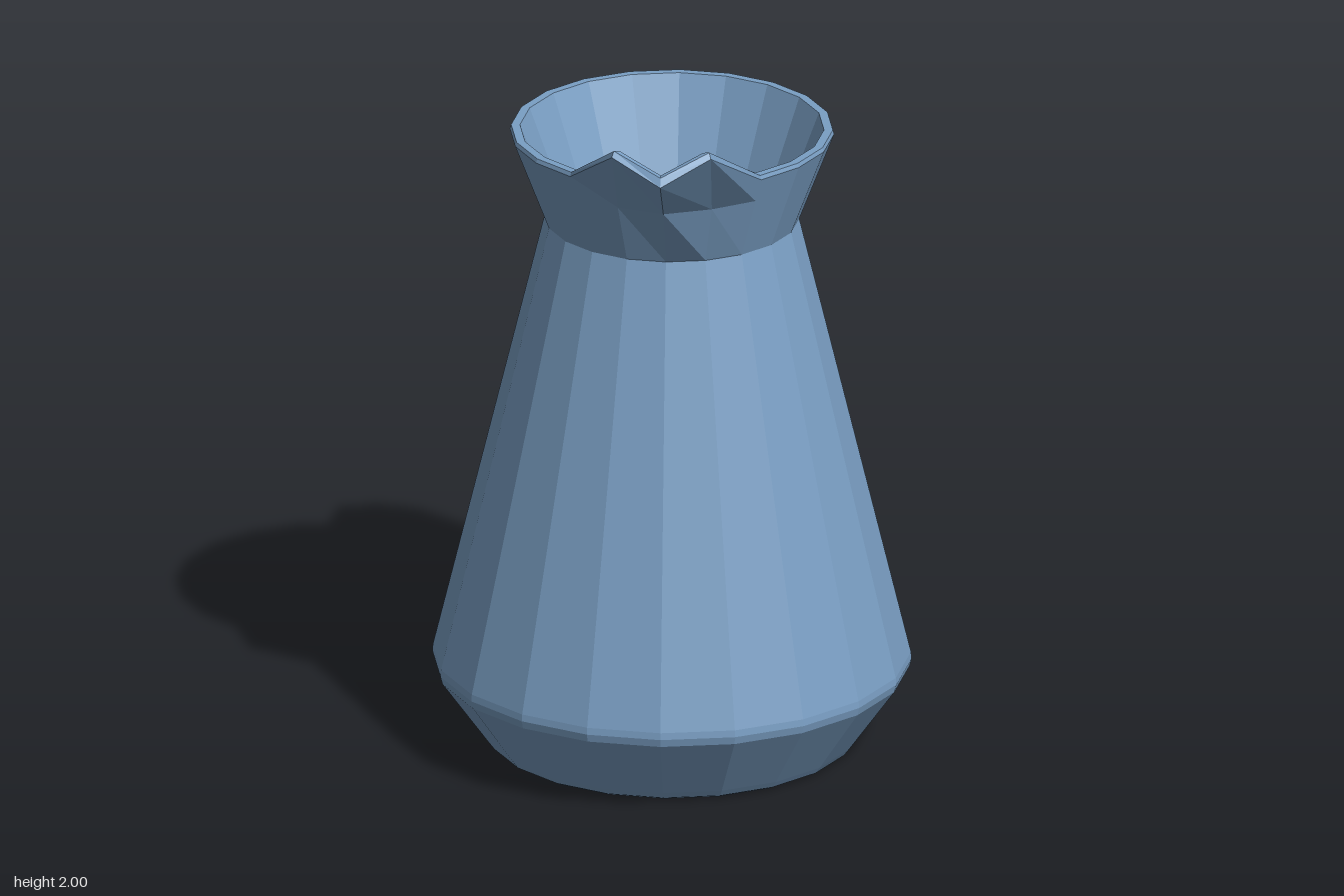
import * as THREE from 'three';

const blue = new THREE.MeshStandardMaterial({ color: 0x7a9fc4, flatShading: true });
blue.name = 'dusty blue';

const SIDES = 20;
const BODY_Z = 0.08;

// Hollow jug: the profile runs up the outside, over the rim and down the inside
function makeVessel() {
  const profile = [
    [0, 0], [0.5, 0], [0.52, 0.01], [0.535, 0.03], // base
    [0.672, 0.222], [0.678, 0.245], [0.676, 0.265], // widest point
    [0.36, 1.57], [0.431, 1.755], [0.459, 1.828], [0.455, 1.84], // neck and outer rim
    [0.43, 1.84], [0.397, 1.755], [0.325, 1.57], // inner rim and neck
    [0.64, 0.25], [0.5, 0.04], [0, 0.04],
  ].map(([r, y]) => new THREE.Vector2(r, y));
  const geo = new THREE.LatheGeometry(profile, SIDES);

  // Spout: rim points at the front are pulled out into a V-shaped lip
  const spout = {
    8: { mid: [0, 1.77, 0.585], side: [0.133, 1.755, 0.5] },
    9: { mid: [0, 1.92, 0.77], side: [0.14, 1.985, 0.705] },
    10: { mid: [0, 1.945, 0.757], side: [0.135, 2.0, 0.692] },
    11: { mid: [0, 1.945, 0.735], side: [0.118, 1.995, 0.68] },
    12: { mid: [0, 1.79, 0.55], side: [0.122, 1.775, 0.47] },
  };
  const pos = geo.attributes.position;
  for (const [row, { mid, side }] of Object.entries(spout)) {
    const place = (segment, [x, y, z], mirror = 1) =>
      pos.setXYZ(segment * profile.length + Number(row), x * mirror, y, z - BODY_Z);
    place(0, mid);
    place(SIDES, mid);
    place(1, side);
    place(SIDES - 1, side, -1);
  }
  geo.computeVertexNormals();
  const mesh = new THREE.Mesh(geo, blue);
  mesh.name = 'jugBody';
  mesh.position.z = BODY_Z;
  return mesh;
}

// Bent strap handle with a ridge down the middle of the grip
function makeHandle() {
  // half width, then [y, z] of outer edge, outer ridge, inner edge, inner ridge
  const stations = [
    [0.11, [1.758, -0.325], [1.758, -0.325], [1.63, -0.285], [1.63, -0.285]],
    [0.11, [1.675, -0.605], [1.672, -0.635], [1.55, -0.525], [1.55, -0.553]],
    [0.097, [0.93, -0.744], [0.96, -0.77], [0.85, -0.675], [0.853, -0.702]],
  ];
  const verts = [];
  for (const [w, outer, outerMid, inner, innerMid] of stations) {
    verts.push(
      [w, ...outer], [0, ...outerMid], [-w, ...outer],
      [-w, ...inner], [0, ...innerMid], [w, ...inner],
    );
  }
  const index = [];
  const quad = (a, b, c, d) => index.push(a, b, c, a, c, d);
  for (let s = 0; s < stations.length - 1; s++) {
    for (let i = 0; i < 6; i++) {
      const a = s * 6 + i;
      const b = s * 6 + ((i + 1) % 6);
      quad(a, a + 6, b + 6, b);
    }
  }
  // End caps, split along the ridge
  const e = (stations.length - 1) * 6;
  quad(0, 1, 4, 5);
  quad(1, 2, 3, 4);
  quad(e, e + 5, e + 4, e + 1);
  quad(e + 1, e + 4, e + 3, e + 2);

  let geo = new THREE.BufferGeometry();
  geo.setAttribute('position', new THREE.Float32BufferAttribute(verts.flat(), 3));
  geo.setIndex(index);
  geo = geo.toNonIndexed();
  geo.computeVertexNormals();
  const mesh = new THREE.Mesh(geo, blue);
  mesh.name = 'handle';
  return mesh;
}

export function createModel() {
  const group = new THREE.Group();
  group.name = 'jug';
  group.add(makeVessel(), makeHandle());
  return group;
}
